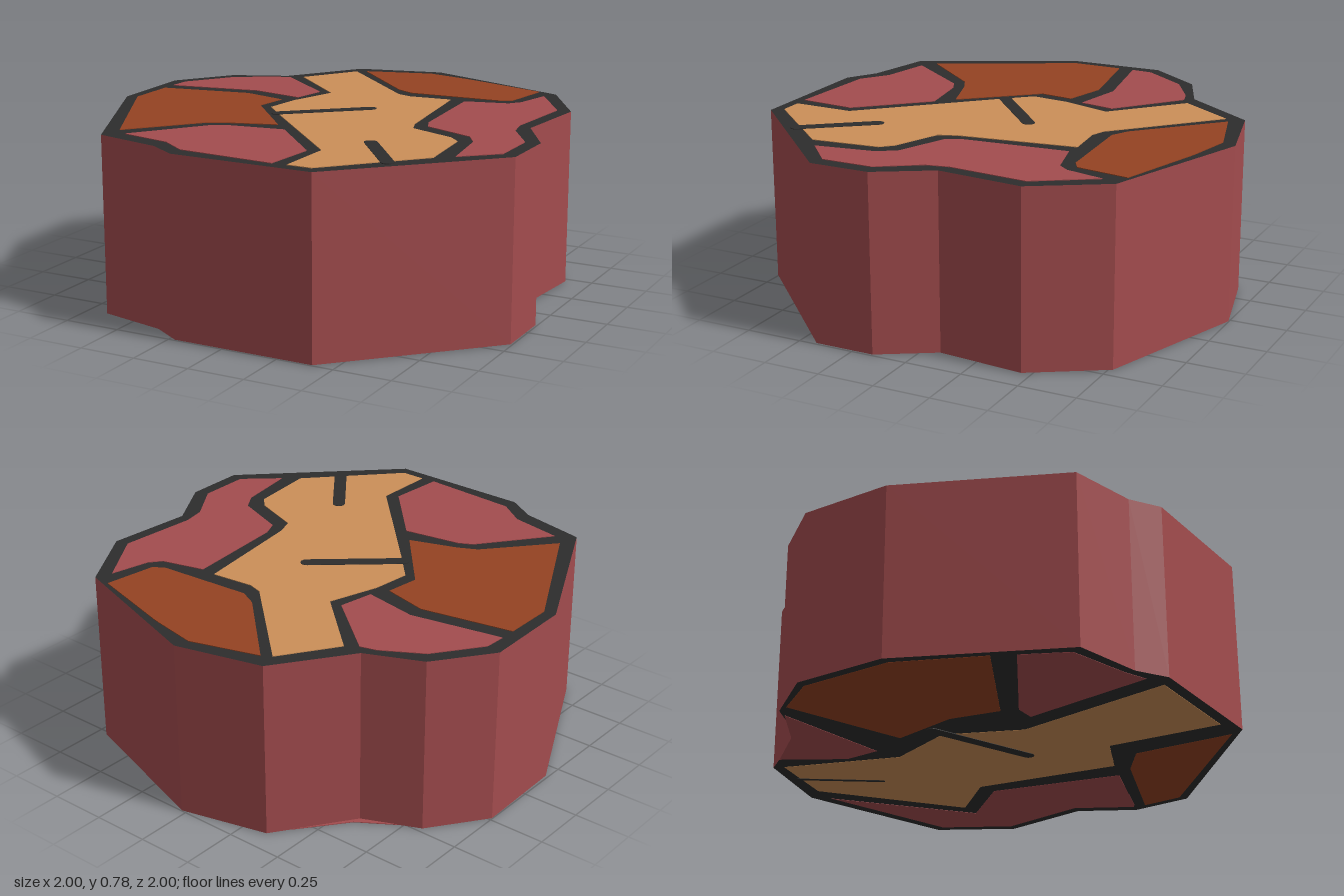
import * as THREE from 'three';

const HEIGHT = 0.775, PLATE = 0.003;

const mat = (name, color) => {
  const m = new THREE.MeshStandardMaterial({ color });
  m.name = name;
  return m;
};

// Outline of the block, as [x, z]
const OUTLINE = [
  [0.02, -1], [0.7, -0.77], [0.89, -0.46], [0.855, -0.08], [0.995, 0.155], [0.995, 0.42], [0.41, 1], [-0.22, 1],
  [-0.35, 0.92], [-0.65, 0.855], [-0.99, 0.17], [-1, -0.24], [-0.825, -0.48], [-0.585, -0.585], [-0.36, -0.905],
];

// Coloured panels of the upper face
const TOP = [
  ['tanPath', 'tan', [[-0.34, -0.825], [0.075, -0.435], [0.14, -0.415], [0.33, -0.435], [0.4, 0.08], [0.43, 0.16],
    [0.64, 0.24], [0.69, 0.29], [0.72, 0.585], [0.38, 0.95], [0.275, 0.95], [0.28, 0.68], [-0.18, 0.2],
    [-0.3, 0.07], [-0.28, -0.1], [-0.21, -0.32], [-0.5, -0.585]]],
  ['backPanel', 'rust', [[-0.3, -0.85], [0, -0.94], [0.2, -0.9], [0.24, -0.89], [0.615, -0.78], [0.58, -0.55],
    [0.53, -0.52], [0.11, -0.49], [0.03, -0.53]]],
  ['leftPanel', 'red', [[0.67, -0.7], [0.83, -0.45], [0.8, -0.1], [0.82, 0], [0.935, 0.175], [0.935, 0.4], [0.79, 0.53],
    [0.75, 0.27], [0.7, 0.19], [0.47, 0.1], [0.44, 0.03], [0.4, -0.43], [0.59, -0.48], [0.63, -0.53]]],
  ['backRightPanel', 'red', [[-0.55, -0.55], [-0.62, -0.53], [-0.79, -0.43], [-0.935, -0.23], [-0.94, -0.135],
    [-0.54, -0.21], [-0.3, -0.165], [-0.27, -0.32]]],
  ['rightPanel', 'rust', [[-0.94, -0.065], [-0.54, -0.14], [-0.34, -0.09], [-0.36, 0.06], [-0.1, 0.36], [-0.31, 0.43],
    [-0.39, 0.47], [-0.63, 0.75], [-0.94, 0.16]]],
  ['frontPanel', 'red', [[-0.03, 0.43], [-0.28, 0.47], [-0.34, 0.5], [-0.57, 0.8], [-0.34, 0.845], [-0.22, 0.93],
    [0.21, 0.955], [0.23, 0.71]]],
];

// Coloured panels of the underside, whose pattern is mirrored and turned
const BOTTOM = [
  ['tanPath', 'tan', [[0.31, 0.95], [0.25, 0.45], [0.46, 0.35], [0.34, -0.28], [0.52, -0.49], [-0.03, -0.92],
    [-0.34, -0.86], [-0.15, -0.37], [-0.25, -0.07], [-0.1, 0.245], [-0.17, 0.95]]],
  ['leftPanel', 'red', [[0.93, 0.18], [0.57, 0.31], [0.42, -0.26], [0.61, -0.49], [0.08, -0.93], [0.68, -0.73],
    [0.85, -0.45], [0.81, -0.07], [0.95, 0.165]]],
  ['frontLeftPanel', 'rust', [[0.96, 0.4], [0.96, 0.22], [0.53, 0.39], [0.39, 0.5], [0.43, 0.94]]],
  ['frontPanel', 'red', [[-0.2, 0.34], [-0.29, 0.34], [-0.73, 0.62], [-0.63, 0.81], [-0.36, 0.88], [-0.26, 0.92]]],
  ['rightPanel', 'rust', [[-0.32, 0.27], [-0.37, 0.05], [-0.32, -0.24], [-0.4, -0.27], [-0.84, -0.43], [-0.96, -0.24],
    [-0.95, 0.17], [-0.78, 0.53]]],
  ['backRightPanel', 'red', [[-0.26, -0.41], [-0.26, -0.57], [-0.42, -0.82], [-0.58, -0.62], [-0.78, -0.49]]],
];

// Dark slits cut into the tan path: start, end, width
const TOP_SLITS = [[[0.1, -0.1], [-0.21, 0.17], 0.056], [[0.39, 0.47], [0.6, 0.74], 0.056]];
const BOTTOM_SLITS = [[[0.145, 0.105], [-0.31, -0.08], 0.05], [[0.035, -0.6], [-0.195, -0.9], 0.018]];

// Flat slab from an [x, z] polygon, spanning y0 to y1
function slab(points, y0, y1) {
  const shape = new THREE.Shape(points.map(([x, z]) => new THREE.Vector2(x, z)));
  return new THREE.ExtrudeGeometry(shape, { depth: y1 - y0, bevelEnabled: false })
    .rotateX(Math.PI / 2).translate(0, y1, 0);
}

// Stadium outline with round ends
function stadium([ax, az], [bx, bz], width) {
  const dir = Math.atan2(bz - az, bx - ax), pts = [];
  for (let i = 0; i < 14; i++) {
    const atEnd = i < 7;
    const a = dir - Math.PI / 2 + (atEnd ? i : i - 1) * Math.PI / 6;
    pts.push([(atEnd ? bx : ax) + Math.cos(a) * width / 2, (atEnd ? bz : az) + Math.sin(a) * width / 2]);
  }
  return pts;
}

export function createModel() {
  const mats = {
    red: mat('brick red', 0xa34c4e),
    rust: mat('rust brown', 0x954322),
    tan: mat('tan', 0xcb8f58),
    dark: mat('charcoal', 0x2d2d2d),
  };
  const model = new THREE.Group();
  model.name = 'stoneBlock';

  const add = (parent, name, geometry, material) => {
    const mesh = new THREE.Mesh(geometry, material);
    mesh.name = name;
    parent.add(mesh);
  };

  // Block with red walls and charcoal caps
  add(model, 'block', slab(OUTLINE, PLATE, HEIGHT - PLATE), [mats.dark, mats.red]);

  // Panels and slits on both faces
  const face = (name, panels, slits, y, slitY) => {
    const group = new THREE.Group();
    group.name = name;
    for (const [part, color, pts] of panels) add(group, part, slab(pts, y, y + PLATE), mats[color]);
    for (const [a, b, w] of slits) add(group, 'slit', slab(stadium(a, b, w), slitY, slitY + PLATE), mats.dark);
    model.add(group);
  };
  face('topFace', TOP, TOP_SLITS, HEIGHT - PLATE, HEIGHT - PLATE + 0.0015);
  face('underside', BOTTOM, BOTTOM_SLITS, 0.0015, 0);

  return model;
}
